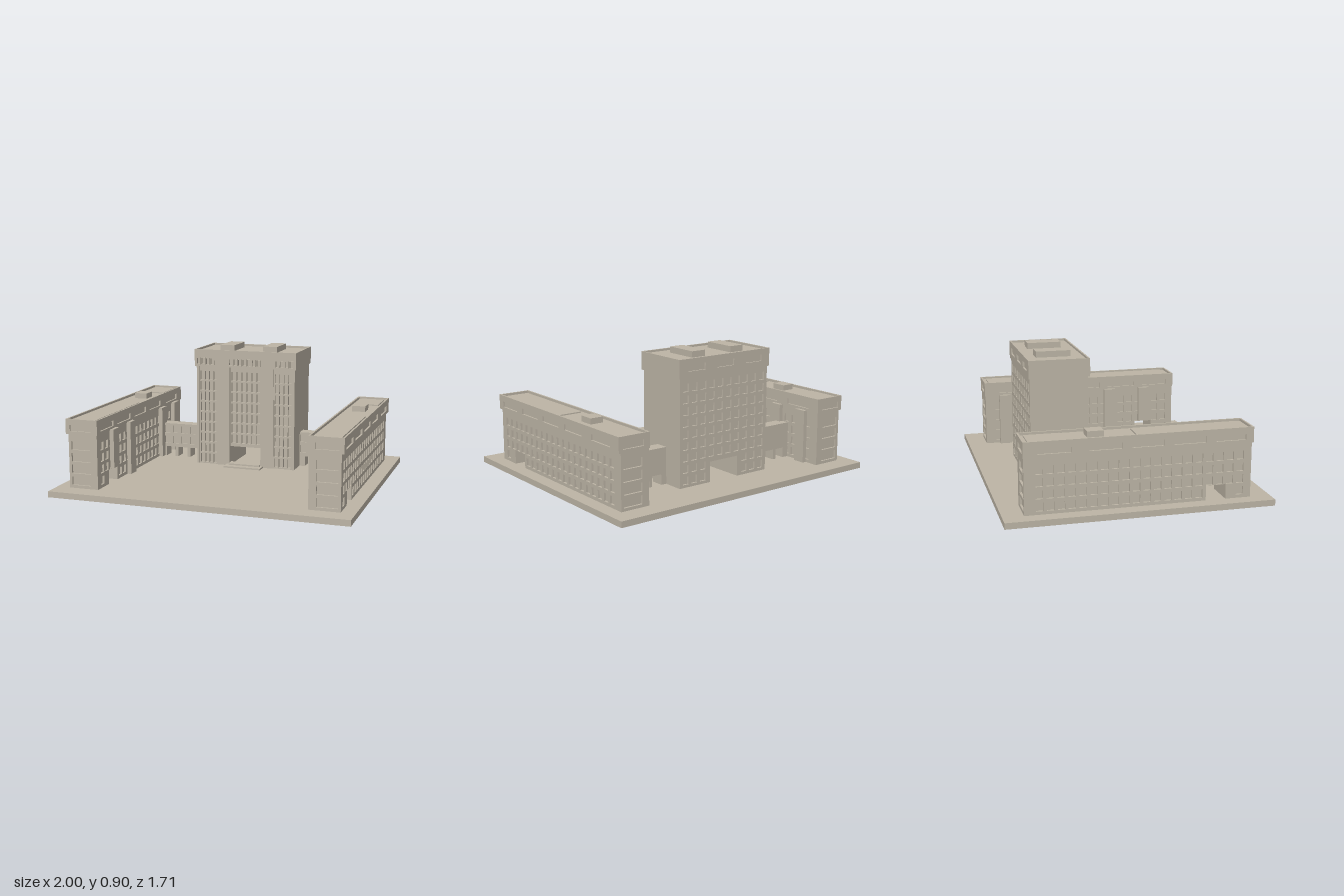
import * as THREE from 'three';

const stone = new THREE.MeshStandardMaterial({ color: 0xbdb5a6 });
stone.name = 'warm stone';

// Box given by its limits
function block(parent, name, x0, x1, y0, y1, z0, z1) {
  const geo = new THREE.BoxGeometry(Math.abs(x1 - x0), y1 - y0, Math.abs(z1 - z0));
  const mesh = new THREE.Mesh(geo, stone);
  mesh.position.set((x0 + x1) / 2, (y0 + y1) / 2, (z0 + z1) / 2);
  mesh.name = name;
  parent.add(mesh);
  return mesh;
}

// Pierced wall. face: '+x', '-x', '+z' or '-z'; plane: position of its outer side.
// Holes are [a0, a1, y0, y1] along the wall; notch is a doorway cut from the foot.
function wall(parent, name, face, plane, a0, a1, y0, y1, depth, holes = [], notch = null) {
  const dir = face[0] === '+' ? 1 : -1;
  const alongX = face[1] === 'z';
  const sign = alongX ? dir : -dir;
  const span = (a, b) => [Math.min(a * sign, b * sign), Math.max(a * sign, b * sign)];
  const [u0, u1] = span(a0, a1);
  const outline = [[u0, y0]];
  if (notch) {
    const [n0, n1] = span(notch[0], notch[1]);
    outline.push([n0, y0], [n0, notch[2]], [n1, notch[2]], [n1, y0]);
  }
  outline.push([u1, y0], [u1, y1], [u0, y1]);
  const shape = new THREE.Shape(outline.map(p => new THREE.Vector2(...p)));
  for (const [h0, h1, b, t] of holes) {
    const [l, r] = span(h0, h1);
    shape.holes.push(new THREE.Path([[l, b], [l, t], [r, t], [r, b]].map(p => new THREE.Vector2(...p))));
  }
  const geo = new THREE.ExtrudeGeometry(shape, { depth, bevelEnabled: false });
  geo.translate(0, 0, -depth);
  const mesh = new THREE.Mesh(geo, stone);
  mesh.name = name;
  if (alongX) {
    mesh.rotation.y = dir > 0 ? 0 : Math.PI;
    mesh.position.z = plane;
  } else {
    mesh.rotation.y = dir * Math.PI / 2;
    mesh.position.x = plane;
  }
  parent.add(mesh);
  return mesh;
}

// Regular window openings from first centre, pitch and count in each direction
function windows(a, da, na, y, dy, ny, w, h) {
  const out = [];
  for (let i = 0; i < na; i++) {
    for (let j = 0; j < ny; j++) {
      const c = a + i * da, m = y + j * dy;
      out.push([c - w / 2, c + w / 2, m - h / 2, m + h / 2]);
    }
  }
  return out;
}

function addWing(root, s) {
  const wing = new THREE.Group();
  wing.name = s > 0 ? 'leftWing' : 'rightWing';
  root.add(wing);
  const outFace = s > 0 ? '+x' : '-x', inFace = s > 0 ? '-x' : '+x';
  const x0 = 0.705, x1 = 0.908, t = 0.014, door = [0.425, 0.555, 0.136];

  // Core, open at the passage
  const c0 = s * (x0 + t), c1 = s * (x1 - t);
  block(wing, 'wingCore', c0, c1, 0.04, 0.4, -0.706, door[0]);
  block(wing, 'wingCoreFront', c0, c1, 0.04, 0.4, door[1], 0.706);
  block(wing, 'wingCoreOverPassage', c0, c1, door[2], 0.4, door[0], door[1]);

  // Window walls
  const grid = windows(-0.626, 0.067, 20, 0.088, 0.0767, 4, 0.046, 0.054)
    .filter(h => h[3] > 0.15 || h[1] < door[0] - 0.01 || h[0] > door[1] + 0.01);
  wall(wing, 'outerWall', outFace, s * x1, -0.706, 0.706, 0.04, 0.4, t, grid, door);
  wall(wing, 'innerWall', inFace, s * x0, -0.706, 0.706, 0.04, 0.4, t, grid, door);
  const endGrid = windows(s * 0.822, 0, 1, 0.088, 0.0787, 4, 0.135, 0.057);
  wall(wing, 'frontEndWall', '+z', 0.72, s * x0, s * x1, 0.04, 0.4, t, endGrid);
  wall(wing, 'backEndWall', '-z', -0.72, s * x0, s * x1, 0.04, 0.4, t, endGrid);

  // Overhanging top storey, its walls forming the parapet
  const long = [[0.48, 0.675], [0.21, 0.415], [-0.057, 0.145], [-0.323, -0.12], [-0.635, -0.43]]
    .map(([a, b]) => [a, b, 0.42, 0.458]);
  const short = [[s * 0.745, s * 0.895, 0.42, 0.46]];
  const k0 = 0.7, k1 = 0.925, p = 0.012;
  block(wing, 'topStorey', s * (k0 + p), s * (k1 - p), 0.4, 0.484, -0.713, 0.713);
  wall(wing, 'topOuterWall', outFace, s * k1, -0.713, 0.713, 0.4, 0.5, p, long);
  wall(wing, 'topInnerWall', inFace, s * k0, -0.713, 0.713, 0.4, 0.5, p, long);
  wall(wing, 'topFrontWall', '+z', 0.725, s * k0, s * k1, 0.4, 0.5, p, short);
  wall(wing, 'topBackWall', '-z', -0.725, s * k0, s * k1, 0.4, 0.5, p, short);

  // Roof panels and plant room
  block(wing, 'roofPanelBack', s * 0.735, s * 0.897, 0.484, 0.492, -0.69, -0.465);
  block(wing, 'roofPanelFront', s * 0.735, s * 0.897, 0.484, 0.492, -0.02, 0.68);
  block(wing, 'roofPlantRoom', s * 0.765, s * 0.855, 0.484, 0.522, -0.32, -0.215);

  // Stair towers; the front one stands above the passage
  for (const [z, foot] of [[-0.578, 0.04], [-0.338, 0.04], [0.222, 0.04], [0.489, 0.145]]) {
    block(wing, 'stairTower', s * 0.676, s * x0, foot, 0.406, z - 0.042, z + 0.042);
  }
}

function addBridge(root, s) {
  const bridge = new THREE.Group();
  bridge.name = s > 0 ? 'leftBridge' : 'rightBridge';
  root.add(bridge);
  block(bridge, 'bridgeBody', s * 0.36, s * 0.706, 0.11, 0.285, -0.435, -0.357);
  const grid = windows(s * 0.388, s * 0.067, 5, 0.163, 0.078, 2, 0.047, 0.054);
  wall(bridge, 'bridgeWindowWall', '+z', -0.345, s * 0.36, s * 0.706, 0.11, 0.285, 0.012, grid);
  for (const [a, b] of [[0.36, 0.402], [0.475, 0.497], [0.569, 0.594], [0.662, 0.706]]) {
    block(bridge, 'bridgeLeg', s * a, s * b, 0.04, 0.11, -0.435, -0.345);
  }
}

function addTower(root) {
  const tower = new THREE.Group();
  tower.name = 'tower';
  root.add(tower);
  const w = 0.362, gate = 0.115, gateTop = 0.177;

  // Core on two legs, with the gateway between
  block(tower, 'coreOverGateway', -gate, gate, gateTop, 0.75, -0.563, -0.235);
  for (const s of [-1, 1]) {
    block(tower, 'coreLeg', s * gate, s * w, 0.04, 0.75, -0.563, -0.225);
    block(tower, 'pillar', s * gate, s * 0.208, 0.04, 0.75, -0.235, -0.195);
    block(tower, 'cornerPier', s * 0.345, s * w, 0.04, 0.75, -0.225, -0.195);
    wall(tower, 'sideWindowStrip', '+z', -0.205, s * 0.208, s * 0.345, 0.04, 0.75, 0.02,
      windows(s * 0.228, s * 0.0322, 4, 0.081, 0.0752, 9, 0.024, 0.063));
  }
  wall(tower, 'centreWindowStrip', '+z', -0.215, -gate, gate, gateTop, 0.75, 0.02,
    windows(-0.0925, 0.037, 6, 0.2314, 0.0752, 7, 0.027, 0.063));

  // Back wall
  const back = windows(-0.315, 0.07, 10, 0.085, 0.0752, 9, 0.045, 0.052)
    .filter(h => h[2] > gateTop || Math.abs(h[0] + h[1]) / 2 > 0.14);
  wall(tower, 'backWall', '-z', -0.577, -w, w, 0.04, 0.75, 0.014, back, [-gate, gate, gateTop]);

  // Crown, its walls forming the parapet
  const c = 0.373, p = 0.011;
  block(tower, 'crownCore', -c + p, c - p, 0.75, 0.856, -0.574, -0.196);
  const sideRow = windows(0.24, 0.0335, 4, 0.787, 0, 1, 0.023, 0.042);
  const row = [...sideRow, ...sideRow.map(h => [-h[1], -h[0], h[2], h[3]]),
    ...windows(-0.102, 0.034, 7, 0.787, 0, 1, 0.023, 0.042)];
  wall(tower, 'crownFront', '+z', -0.185, -c, c, 0.75, 0.87, p, row);
  wall(tower, 'crownBack', '-z', -0.585, -c, c, 0.75, 0.87, p,
    windows(-0.235, 0.235, 3, 0.81, 0, 1, 0.14, 0.042));
  for (const s of [-1, 1]) {
    block(tower, 'crownSide', s * (c - p), s * c, 0.75, 0.87, -0.574, -0.196);
    block(tower, 'roofPlantRoom', s * 0.105, s * 0.21, 0.856, 0.896, -0.505, -0.275);
  }
  // Projecting window surrounds
  for (const [a, b, y0, y1] of row) {
    wall(tower, 'windowSurround', '+z', -0.178, a - 0.003, b + 0.003, y0 - 0.003, y1 + 0.003,
      0.007, [[a, b, y0, y1]]);
  }

  // Entrance steps
  block(tower, 'lowerStep', -0.135, 0.135, 0.04, 0.051, -0.235, -0.118);
  block(tower, 'upperStep', -0.115, 0.115, 0.051, 0.061, -0.235, -0.165);
}

export function createModel() {
  const root = new THREE.Group();
  root.name = 'buildingComplex';
  block(root, 'basePlate', -1, 1, 0, 0.04, -0.853, 0.853);
  for (const s of [-1, 1]) {
    addWing(root, s);
    addBridge(root, s);
  }
  addTower(root);
  return root;
}
